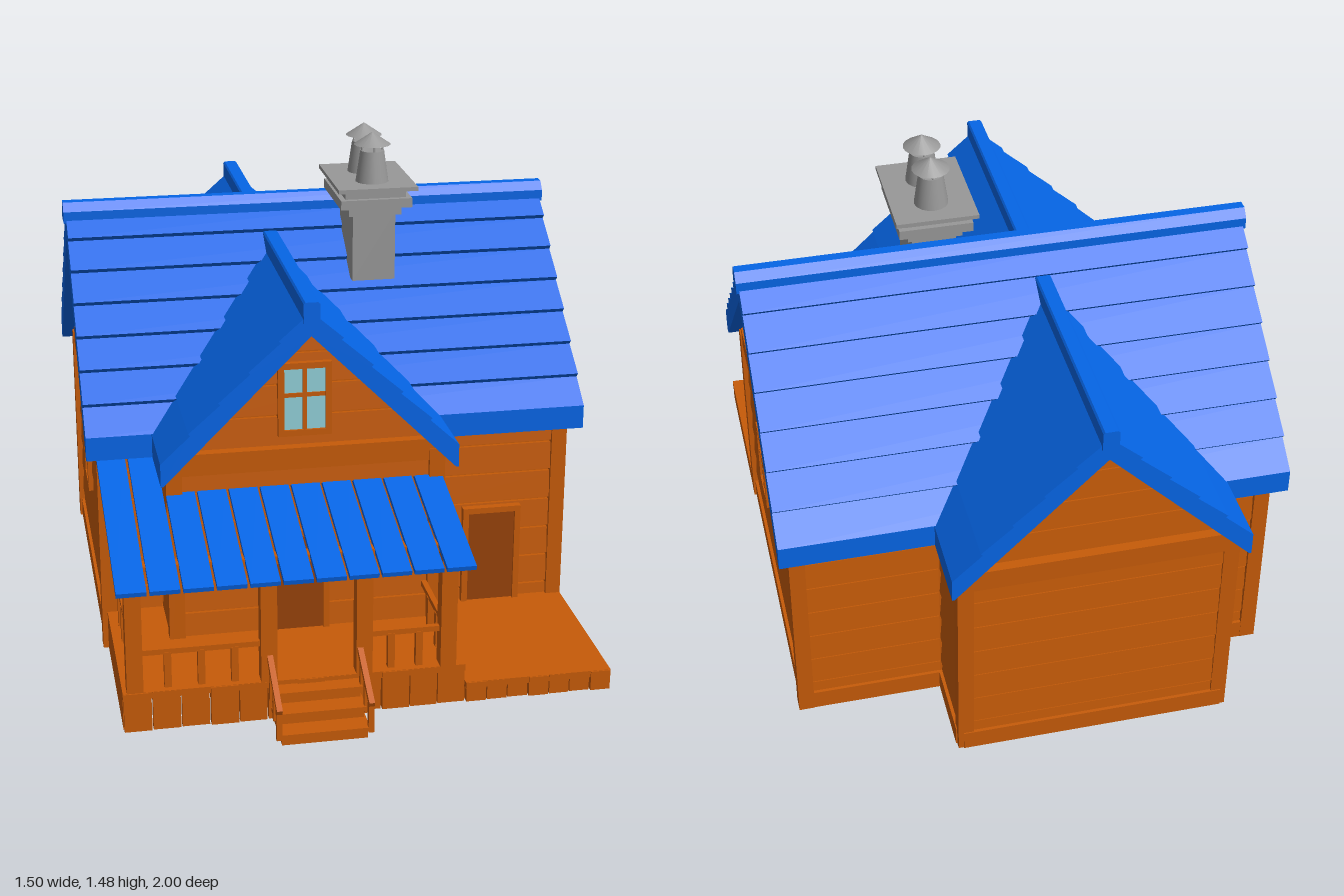
import * as THREE from 'three';

const mat = (name, color) => {
  const m = new THREE.MeshStandardMaterial({ color });
  m.name = name;
  return m;
};

export function createModel() {
  const wood = mat('wood', 0xc65b08), doorWood = mat('door wood', 0x974209);
  const blue = mat('roof blue', 0x0565e6), stone = mat('stone', 0x989898);
  const glass = mat('glass', 0x92d0d8);
  const model = new THREE.Group();
  model.name = 'cottage';

  const add = (parent, name, geo, m, x = 0, y = 0, z = 0) => {
    const mesh = new THREE.Mesh(geo, m);
    mesh.name = name;
    mesh.position.set(x, y, z);
    parent.add(mesh);
    return mesh;
  };
  // box given by its limits
  const block = (parent, name, m, x0, x1, y0, y1, z0, z1) =>
    add(parent, name, new THREE.BoxGeometry(x1 - x0, y1 - y0, z1 - z0), m,
      (x0 + x1) / 2, (y0 + y1) / 2, (z0 + z1) / 2);
  // square bar between two points
  const bar = (parent, name, m, a, b, t) => {
    const A = new THREE.Vector3(...a), B = new THREE.Vector3(...b);
    const mesh = add(parent, name, new THREE.BoxGeometry(t, t, A.distanceTo(B)), m);
    mesh.position.copy(A).add(B).multiplyScalar(0.5);
    mesh.lookAt(B);
  };
  const group = (name, x = 0, y = 0, z = 0, rotY = 0) => {
    const g = new THREE.Group();
    g.name = name;
    g.position.set(x, y, z);
    g.rotation.y = rotY;
    model.add(g);
    return g;
  };
  const extrude = (pts, depth) => new THREE.ExtrudeGeometry(
    new THREE.Shape(pts.map(p => new THREE.Vector2(...p))), { depth, bevelEnabled: false });

  // the two crossing volumes, each running along its local z, with set-back gables
  const mainGroup = group('main house', 0, 0, -0.19, Math.PI / 2);
  const wingGroup = group('cross wing', -0.125, 0, 0, 0);
  const core = (parent, half, eave, apex, a, b) => {
    block(parent, 'walls', wood, -half, half, 0, eave, a, b);
    add(parent, 'gable walls', extrude([[-half, eave], [half, eave], [0, apex]], b - a - 0.04),
      wood, 0, 0, a + 0.02);
  };
  core(mainGroup, 0.495, 0.66, 1.15, -0.68, 0.68);
  core(wingGroup, 0.385, 0.66, 1.06, -0.94, 0.51);

  // roof section with lapped rows on both slopes
  const chevron = (half, apex, inner, slope, rows, step) => {
    const n = Math.hypot(1, slope), side = [[half, 0.63]];
    for (let i = 0; i < rows; i++) {
      const u0 = half * (1 - i / rows), u1 = half * (1 - (i + 1) / rows);
      if (i > 0) side.push([u0, apex - slope * u0]);
      side.push([u0 + (i ? step * slope / n : 0), apex - slope * u0 + step / n]);
      if (i === rows - 1) side.push([u1, apex]);
    }
    const left = side.slice(0, -1).reverse().map(([u, y]) => [-u, y]);
    const e = Math.min((inner - 0.63) / slope, half - 0.004);
    return [...side, ...left, [-e, 0.63], [0, inner], [e, 0.63]];
  };
  const roof = (parent, name, profile, a, b, cap) => {
    add(parent, name + ' boards', extrude(profile, b - a), blue, 0, 0, a);
    add(parent, name + ' ridge cap', extrude(cap, b - a + 0.016), blue, 0, 0, a - 0.008);
  };
  roof(mainGroup, 'main roof', chevron(0.575, 1.223, 1.14, 0.93, 7, 0.018), -0.742, 0.742,
    [[-0.037, 1.19], [0.037, 1.19], [0.037, 1.225], [0.015, 1.25], [-0.015, 1.25], [-0.037, 1.225]]);
  roof(wingGroup, 'wing roof', chevron(0.427, 1.12, 1.05, 1, 5, 0.008), -0.992, 0.612,
    [[-0.023, 1.09], [0.023, 1.09], [0.023, 1.145], [0.018, 1.15], [-0.018, 1.15], [-0.023, 1.145]]);

  // tilted horizontal boards between two heights; under a gable they narrow
  const boards = (g, z, y0, y1, halfAt) => {
    for (let y = y0; y < y1 - 0.02; y += 0.094) {
      const h = Math.min(0.085, y1 - y), a = halfAt(y), b = Math.max(0.004, halfAt(y + h));
      const board = add(g, 'wall board', extrude([[-a, 0], [a, 0], [b, h], [-b, h]], 0.014), wood, 0, y, z + 0.004);
      board.rotation.x = -0.07;
    }
  };
  const siding = (x, z, rotY, w, gable) => {
    const g = group('siding', x, 0, z, rotY);
    boards(g, 0, 0.008, 0.655, () => w / 2);
    block(g, 'sill trim', wood, -w / 2, w / 2, 0, 0.06, 0, 0.024);
    if (gable) {
      block(g, 'tie beam', wood, -w / 2, w / 2, 0.625, 0.69, -0.03, 0.026);
      boards(g, -0.02, 0.69, gable[0], y => Math.min(w / 2, (gable[0] - y) / gable[1]));
    }
  };
  const H = Math.PI / 2;
  siding(0.68, -0.19, H, 1.0, [1.14, 0.93]);
  siding(-0.68, -0.19, -H, 1.0, [1.14, 0.93]);
  siding(-0.125, 0.51, 0, 0.78, [1.05, 1]);
  siding(-0.125, -0.94, Math.PI, 0.78, [1.05, 1]);
  for (const [z, r] of [[0.305, 0], [-0.685, Math.PI]]) {
    siding(0.485, z, r, 0.41);
    siding(-0.61, z, r, 0.16);
  }
  for (const [z, w] of [[0.415, 0.2], [-0.82, 0.24]]) {
    siding(0.26, z, H, w);
    siding(-0.51, z, -H, w);
  }

  // corner posts
  const posts = group('corner posts');
  const post = (name, x, z, y0, y1, t) =>
    block(posts, name, wood, x - t / 2, x + t / 2, y0, y1, z - t / 2, z + t / 2);
  for (const x of [-0.6875, 0.6875]) for (const z of [0.3075, -0.6875]) post('main corner post', x, z, 0, 0.67, 0.046);
  for (const x of [-0.5075, 0.2575]) for (const z of [0.5165, -0.9375]) post('wing corner post', x, z, 0, 0.66, 0.046);

  // windows and doors, facing local +z
  const frame = (g, w, h, t, d, sill) => {
    for (const s of [-1, 1])
      block(g, 'frame side', wood, s * (w - t) / 2 - t / 2, s * (w - t) / 2 + t / 2, 0, h, 0, d);
    block(g, 'frame top', wood, -w / 2, w / 2, h - t, h, 0, d);
    if (sill) block(g, 'frame sill', wood, -w / 2, w / 2, 0, t, 0, d);
  };
  const windowAt = (x, y, z, rotY, w, h, t) => {
    const g = group('window', x, y, z, rotY);
    frame(g, w, h, t, 0.03, true);
    block(g, 'window backing', wood, -w / 2 + t, w / 2 - t, t, h - t, 0, 0.02);
    block(g, 'window pane', glass, -w / 2 + t, w / 2 - t, t, h - t, 0.019, 0.023);
    block(g, 'upright bar', wood, -t / 3, t / 3, t, h - t, 0.018, 0.027);
    block(g, 'cross bar', wood, -w / 2 + t, w / 2 - t, h * 0.56 - t / 3, h * 0.56 + t / 3, 0.018, 0.027);
  };
  windowAt(-0.127, 0.72, 0.49, 0, 0.155, 0.22, 0.018);
  windowAt(0.68, 0.32, -0.077, H, 0.155, 0.22, 0.018);
  windowAt(0.68, 0.46, -0.46, H, 0.09, 0.105, 0.011);
  windowAt(-0.68, 0.32, -0.2, -H, 0.155, 0.22, 0.018);
  const doorAt = (x, y, z, h) => {
    const g = group('door', x, y, z);
    frame(g, 0.18, h, 0.018, 0.035, false);
    block(g, 'door leaf', doorWood, -0.073, 0.073, 0, h - 0.018, 0, 0.026);
  };
  doorAt(-0.15, 0.12, 0.51, 0.315);
  doorAt(0.482, 0.06, 0.305, 0.31);

  // porch and terrace decks, hollow below, with upright fascia planks
  const porch = group('porch');
  const deck = (name, x0, x1, top, n) => {
    block(porch, name + ' floor', wood, x0, x1, top - 0.02, top, 0.3, 0.838);
    const p = (x1 - x0) / n;
    for (let i = 0; i < n; i++)
      block(porch, name + ' fascia plank', wood, x0 + i * p + 0.002, x0 + (i + 1) * p - 0.002,
        0, top - 0.001, 0.815, 0.842 - (i % 3) * 0.003);
    for (const x of [x0, x1 - 0.02])
      block(porch, name + ' side fascia', wood, x, x + 0.02, 0, top, 0.3, 0.825);
  };
  deck('porch', -0.695, 0.278, 0.118, 12);
  deck('terrace', 0.28, 0.71, 0.06, 7);

  // porch posts, beam and plank roof
  for (const x of [-0.66, -0.285, -0.015, 0.227]) post('porch post', x, 0.815, 0.11, 0.5, 0.046);
  block(porch, 'porch beam', wood, -0.685, 0.25, 0.475, 0.497, 0.795, 0.835);
  for (let i = 0; i < 11; i++) {
    const x = -0.67 + i * 0.0903, back = i < 2 ? [0.32, 0.62] : [0.51, 0.573];
    const len = Math.hypot(0.94 - back[0], back[1] - 0.468);
    const plank = add(porch, 'porch roof plank', new THREE.BoxGeometry(0.082, 0.014, len), blue,
      x, (back[1] + 0.468) / 2, (0.94 + back[0]) / 2);
    plank.rotation.x = Math.atan2(back[1] - 0.468, 0.94 - back[0]);
  }

  // railings
  const railing = (a, b, n) => {
    const lift = (p, y) => [p[0], p[1] + y, p[2]];
    bar(porch, 'hand rail', wood, lift(a, 0.113), lift(b, 0.113), 0.016);
    for (let i = 1; i <= n; i++) {
      const t = i / (n + 1), p = a.map((v, k) => v + (b[k] - v) * t);
      bar(porch, 'baluster', wood, p, lift(p, 0.11), 0.02);
    }
  };
  railing([-0.66, 0.115, 0.81], [-0.285, 0.115, 0.81], 3);
  railing([-0.015, 0.115, 0.81], [0.227, 0.115, 0.81], 2);
  railing([-0.66, 0.115, 0.81], [-0.66, 0.115, 0.32], 4);
  railing([0.227, 0.115, 0.81], [0.227, 0.115, 0.516], 2);

  // entrance steps
  for (let i = 0; i < 3; i++) {
    const y = 0.035 * (i + 1), z = 0.995 - i * 0.053;
    block(porch, 'step', wood, -0.275, -0.035, y - 0.035, y - 0.012, 0.83, z - 0.008);
    block(porch, 'step tread', wood, -0.28, -0.03, y - 0.012, y, 0.83, z);
  }
  for (const x of [-0.283, -0.027]) {
    bar(porch, 'stair rail', wood, [x, 0.108, 1.0], [x, 0.195, 0.83], 0.016);
    for (const z of [0.988, 0.93, 0.87])
      bar(porch, 'stair baluster', wood, [x, 0.02 + (0.988 - z) * 0.5, z], [x, 0.11 + (0.988 - z) * 0.51, z], 0.016);
  }

  // chimney: stack, stepped crown, two pots under hoods on thin legs
  const chimney = group('chimney', 0.163, 0, -0.03);
  for (const [name, hx, hz, y0, y1] of [
    ['stack', 0.065, 0.1, 1.03, 1.24], ['lower course', 0.08, 0.115, 1.235, 1.265],
    ['wide course', 0.108, 0.138, 1.262, 1.29], ['upper course', 0.092, 0.122, 1.288, 1.32],
    ['top slab', 0.12, 0.162, 1.318, 1.33]])
    block(chimney, 'chimney ' + name, stone, -hx, hx, y0, y1, -hz, hz);
  const round = (rt, rb, h) => new THREE.CylinderGeometry(rt, rb, h, 16);
  for (const z of [-0.063, 0.063]) {
    add(chimney, 'chimney pot', round(0.036, 0.05, 0.095), stone, 0, 1.3765, z);
    for (let i = 0; i < 4; i++)
      add(chimney, 'hood leg', round(0.003, 0.003, 0.03), stone,
        0.031 * Math.cos(i * H), 1.434, z + 0.031 * Math.sin(i * H));
    add(chimney, 'pot hood', round(0.002, 0.055, 0.036), stone, 0, 1.46, z);
  }
  return model;
}
